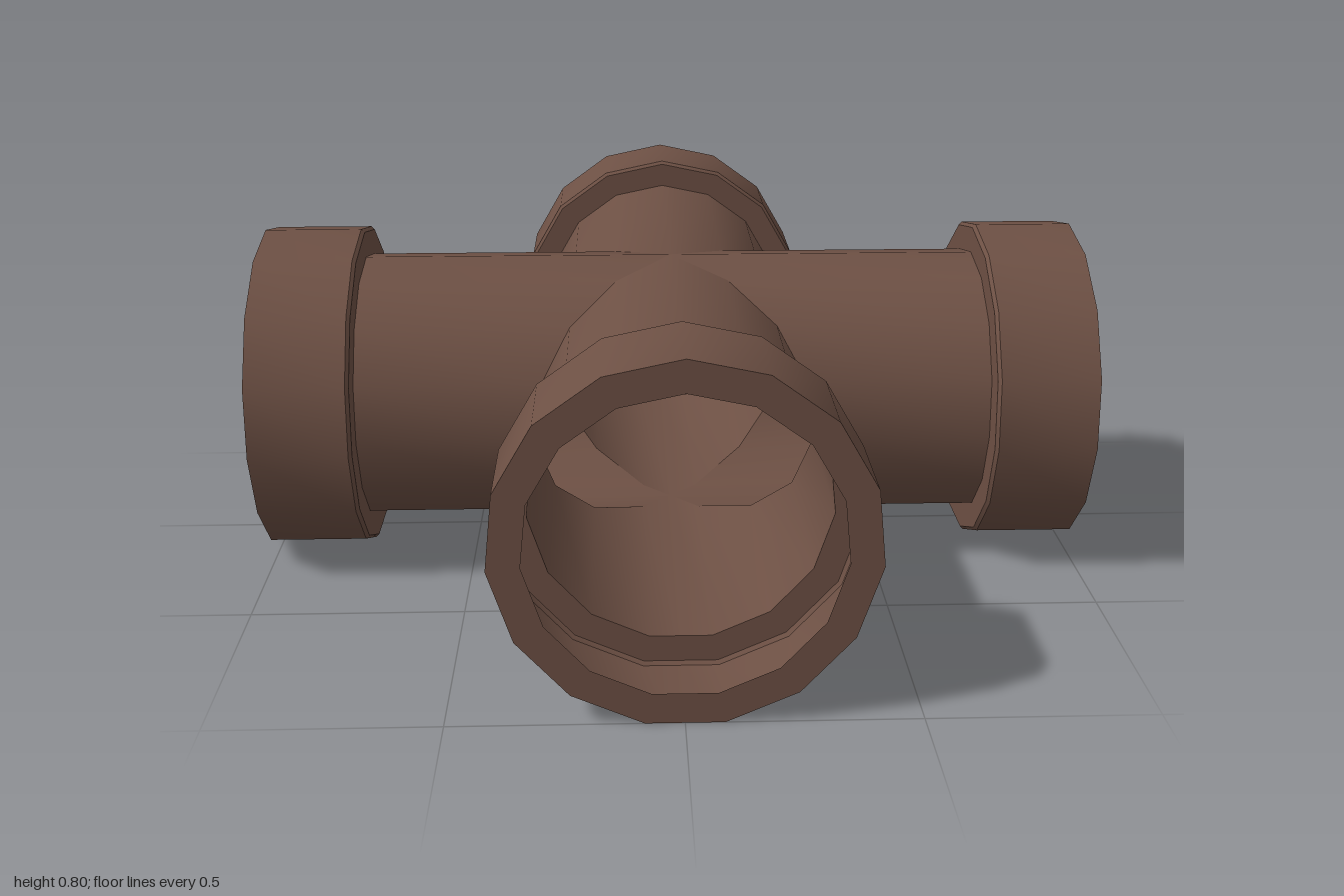
import * as THREE from 'three';
import { toCreasedNormals } from 'three/addons/utils/BufferGeometryUtils.js';

const SIDES = 15;
const AXIS_Y = 0.396;
const PIPE_R = 0.333;
const COLLAR_R = 0.404;

// Cross-section corners of radius 1, point up; the flat bottom side gets a midpoint
// so that the four arms can meet at the centre of the underside.
const section = [];
for (let i = 0; i < SIDES; i++) {
  const a = (i / SIDES) * Math.PI * 2;
  section.push([Math.sin(a), Math.cos(a)]);
  if (i === (SIDES - 1) / 2) section.push([0, -Math.cos(Math.PI / SIDES)]);
}

// Skin a list of rings { r, z }; z may be a function of x
function loft(rings) {
  const n = section.length;
  const pos = [];
  const index = [];
  for (const { r, z } of rings) {
    for (const [sx, sy] of section) {
      pos.push(sx * r, sy * r, typeof z === 'function' ? z(sx * r) : z);
    }
  }
  for (let k = 0; k < rings.length - 1; k++) {
    for (let j = 0; j < n; j++) {
      const a = k * n + j;
      const b = k * n + ((j + 1) % n);
      index.push(a, a + n, b, b, a + n, b + n);
    }
  }
  const geo = new THREE.BufferGeometry();
  geo.setAttribute('position', new THREE.Float32BufferAttribute(pos, 3));
  geo.setIndex(index);
  return toCreasedNormals(geo, Math.PI / 6);
}

export function createModel() {
  const group = new THREE.Group();
  group.name = 'crossPipeFitting';
  const material = new THREE.MeshStandardMaterial({ color: 0x6d5044, side: THREE.DoubleSide });

  // Pipe arm, mitred on the diagonals where it meets its neighbours
  const pipeGeo = loft([
    { r: PIPE_R, z: (x) => Math.abs(x) },
    { r: PIPE_R, z: 0.757 },
  ]);

  // Hollow socket: step out with a small bevel, wall, and flat rim turned inward
  const collarGeo = loft([
    { r: PIPE_R, z: 0.757 },
    { r: COLLAR_R - 0.008, z: 0.757 },
    { r: COLLAR_R, z: 0.765 },
    { r: COLLAR_R, z: 1 },
    { r: PIPE_R, z: 1 },
  ]);

  ['front', 'left', 'back', 'right'].forEach((side, i) => {
    const arm = new THREE.Group();
    arm.name = side + 'Arm';
    const pipe = new THREE.Mesh(pipeGeo, material);
    pipe.name = side + 'Pipe';
    const collar = new THREE.Mesh(collarGeo, material);
    collar.name = side + 'Collar';
    arm.add(pipe, collar);
    arm.position.y = AXIS_Y;
    arm.rotation.y = (i * Math.PI) / 2;
    group.add(arm);
  });

  return group;
}
